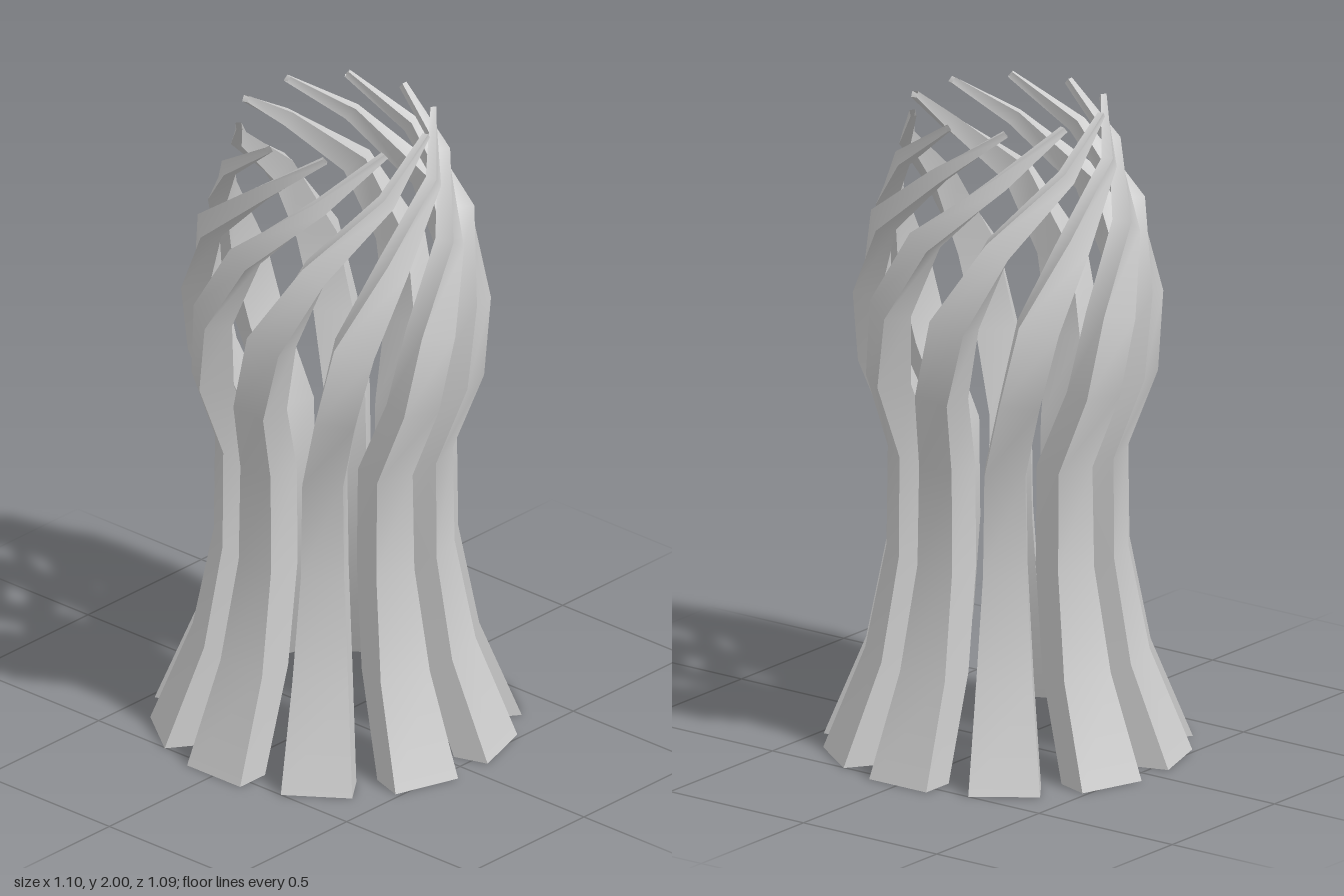
import * as THREE from 'three';

const STRANDS = 10;

// Cross-sections of one hollow strand, bottom to top:
// height, radius and azimuth of the middle of the outer edge, width, depth, facing angle, sideways tilt (degrees)
const SECTIONS = [
  [0.00, 0.543, 0.3, 0.214, 0.110, 0, 0],
  [0.31, 0.418, 0, 0.168, 0.115, 0, 0],
  [0.63, 0.358, 0, 0.130, 0.118, 0, 0],
  [0.94, 0.355, 0, 0.122, 0.115, 0, 0],
  [1.18, 0.439, 5.9, 0.120, 0.105, 0, 3],
  [1.42, 0.449, 13.3, 0.122, 0.085, 4, 12],
  [1.66, 0.412, 33, 0.080, 0.062, 32, 35],
  [1.85, 0.342, 70, 0.046, 0.036, 70, 48],
  [1.992, 0.304, 108, 0.020, 0.018, 108, 50],
];

// Four corners of a section: outer left, outer right, inner right, inner left
function corners([y, r, azimuth, w, d, facing, tilt]) {
  const [az, a, t] = [azimuth, facing, tilt].map(THREE.MathUtils.degToRad);
  const centre = new THREE.Vector3(r * Math.sin(az), y, r * Math.cos(az));
  const out = new THREE.Vector3(Math.sin(a), 0, Math.cos(a));
  const right = new THREE.Vector3(Math.cos(a) * Math.cos(t), -Math.sin(t), -Math.sin(a) * Math.cos(t));
  return [[-w / 2, 0], [w / 2, 0], [w / 2, -d], [-w / 2, -d]].map(
    ([u, v]) => centre.clone().addScaledVector(right, u).addScaledVector(out, v).toArray());
}

// Lofts the sections; each side has its own vertices so the long edges stay sharp
function strandGeometry() {
  const rings = SECTIONS.map(corners);
  const pos = [], index = [];
  for (let side = 0; side < 4; side++) {
    const start = pos.length / 3;
    rings.forEach((ring, i) => {
      pos.push(...ring[side], ...ring[(side + 1) % 4]);
      if (i === 0) return;
      const b = start + (i - 1) * 2;
      index.push(b, b + 1, b + 3, b, b + 3, b + 2);
    });
  }
  const geo = new THREE.BufferGeometry();
  geo.setAttribute('position', new THREE.Float32BufferAttribute(pos, 3));
  geo.setIndex(index);
  geo.computeVertexNormals();
  return geo;
}

export function createModel() {
  const model = new THREE.Group();
  model.name = 'twistedTower';
  // Strands are open at both ends, so their inside shows
  const material = new THREE.MeshStandardMaterial({ color: 0xcccccc, side: THREE.DoubleSide });
  const geometry = strandGeometry();

  // Ring of identical strands
  for (let i = 0; i < STRANDS; i++) {
    const strand = new THREE.Mesh(geometry, material);
    strand.name = `strand${i + 1}`;
    strand.rotation.y = (i / STRANDS) * Math.PI * 2;
    model.add(strand);
  }
  return model;
}
